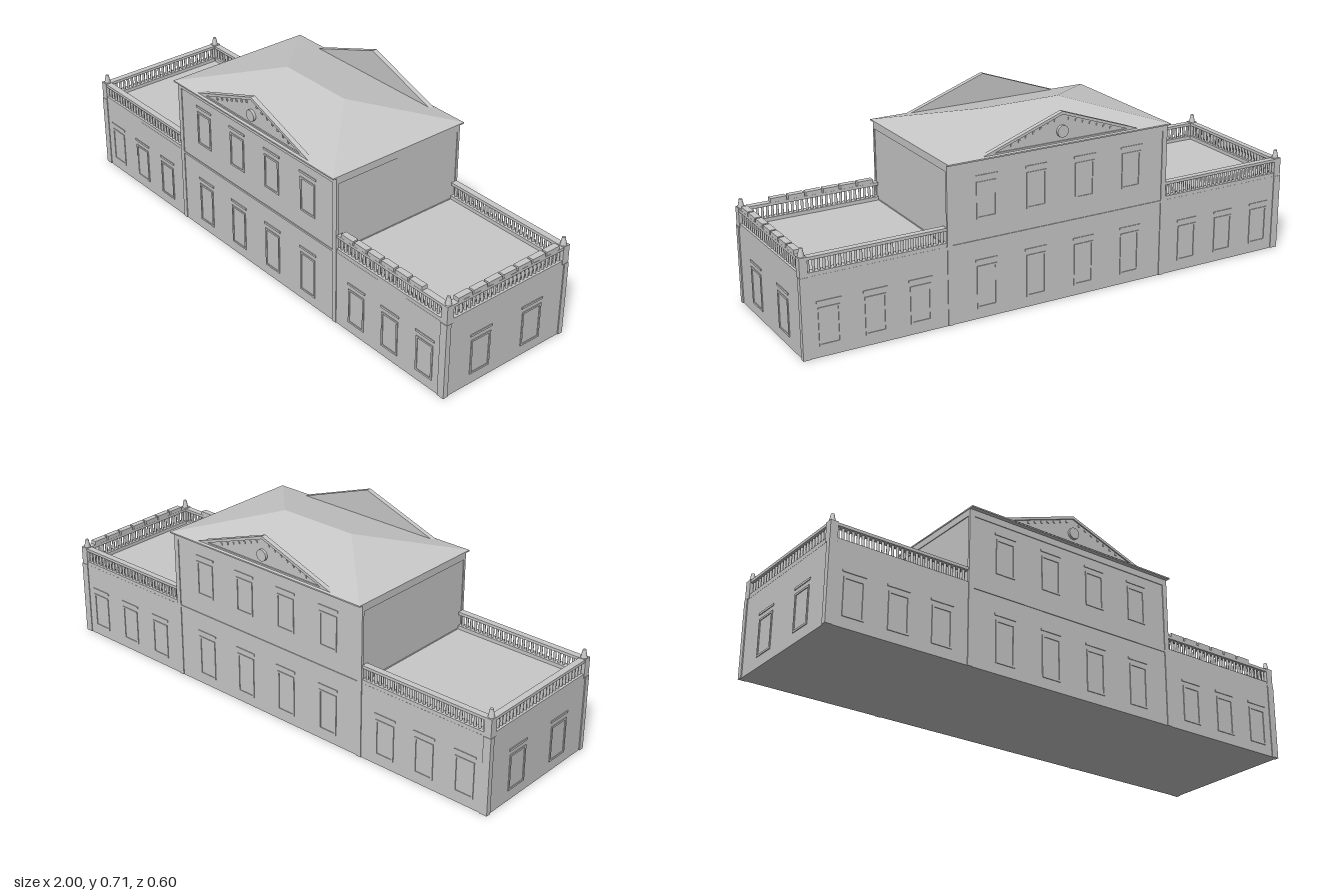
import * as THREE from 'three';

export function createModel() {
  const model = new THREE.Group();
  const stone = new THREE.MeshStandardMaterial({ color: 0xc8c8c8 });
  stone.name = 'pale grey stone';

  const add = (name, geo, x = 0, y = 0, z = 0, parent = model) => {
    const m = new THREE.Mesh(geo, stone);
    m.name = name;
    m.position.set(x, y, z);
    parent.add(m);
    return m;
  };
  // Box given by its minimum and maximum corners
  const box = (name, x0, x1, y0, y1, z0, z1, parent) =>
    add(name, new THREE.BoxGeometry(x1 - x0, y1 - y0, z1 - z0),
      (x0 + x1) / 2, (y0 + y1) / 2, (z0 + z1) / 2, parent);

  // Main masses
  box('groundFloor', -0.996, 0.996, 0, 0.296, -0.282, 0.282);
  box('upperFloor', -0.452, 0.452, 0.296, 0.595, -0.282, 0.282);
  box('beltCourse', -0.455, 0.455, 0.29, 0.298, -0.285, 0.285);
  box('cornice', -0.455, 0.455, 0.567, 0.595, -0.285, 0.285);
  for (const sx of [-1, 1]) {
    for (const sz of [-1, 1]) {
      box('wingCorner', sx * 0.985 - 0.015, sx * 0.985 + 0.015, 0, 0.296, sz * 0.275 - 0.01, sz * 0.275 + 0.01);
      box('blockCorner', sx * 0.445 - 0.01, sx * 0.445 + 0.01, 0, 0.595, sz * 0.28 - 0.005, sz * 0.28 + 0.005);
    }
  }

  // Hipped roof: four flat slopes, a thin eave and a soffit
  const A = [-0.457, 0.597, 0.302], B = [0.457, 0.597, 0.302], C = [0.457, 0.597, -0.302], D = [-0.457, 0.597, -0.302];
  const R = [0.16, 0.672, 0], L = [-0.16, 0.672, 0];
  const roof = new THREE.BufferGeometry();
  roof.setAttribute('position', new THREE.Float32BufferAttribute(
    [A, B, R, A, R, L, B, C, R, C, D, L, C, L, R, D, A, L].flat(), 3));
  roof.computeVertexNormals();
  add('hippedRoof', roof);
  box('eave', -0.457, 0.457, 0.592, 0.597, -0.302, 0.302);

  // Pediments, front and back
  const triangle = (Type, w, y0, y1) => {
    const s = new Type();
    s.moveTo(-w, y0); s.lineTo(w, y0); s.lineTo(0, y1); s.closePath();
    return s;
  };
  const extrude = (shape, depth) => new THREE.ExtrudeGeometry(shape, { depth, bevelEnabled: false });
  const pediment = () => {
    const g = new THREE.Group();
    g.name = 'pediment';
    add('tympanum', extrude(triangle(THREE.Shape, 0.33, 0.595, 0.712), 0.014), 0, 0, 0.273, g);
    const rim = triangle(THREE.Shape, 0.33, 0.595, 0.712);
    rim.holes.push(triangle(THREE.Path, 0.272, 0.605, 0.701));
    add('pedimentMoulding', extrude(rim, 0.005), 0, 0, 0.287, g);
    for (const s of [-1, 1]) {
      for (let i = 1; i < 8; i++) {
        const x = s * i * 0.029;
        box('dentil', x - 0.004, x + 0.004, 0.688 - Math.abs(x) * 0.354, 0.696 - Math.abs(x) * 0.354, 0.285, 0.29, g);
      }
    }
    const disc = add('roundel', new THREE.CylinderGeometry(0.022, 0.022, 0.011, 24), 0, 0.64, 0.2915, g);
    disc.rotation.x = Math.PI / 2;
    return g;
  };
  const back = pediment();
  back.rotation.y = Math.PI;
  model.add(pediment(), back);

  // Balustrade run along local x, centred at the group origin
  const baluster = new THREE.CylinderGeometry(0.0052, 0.0052, 0.048, 8);
  const balustrade = (length, x, z, turn) => {
    const g = new THREE.Group();
    g.name = 'balustrade';
    g.position.set(x, 0, z);
    g.rotation.y = turn;
    const h = length / 2;
    box('bottomRail', -h, h, 0.294, 0.31, -0.0125, 0.0125, g);
    box('topRail', -h, h, 0.354, 0.365, -0.0125, 0.0125, g);
    const n = Math.floor(length / 0.019);
    for (let i = 0; i < n; i++) add('baluster', baluster, (i - (n - 1) / 2) * 0.019, 0.332, 0, g);
    model.add(g);
  };
  for (const s of [-1, 1]) {
    balustrade(0.52, s * 0.715, 0.269, 0);
    balustrade(0.52, s * 0.715, -0.269, 0);
    balustrade(0.52, s * 0.984, 0, Math.PI / 2);
    for (const sz of [-1, 1]) {
      box('cornerPost', s * 0.984 - 0.0145, s * 0.984 + 0.0145, 0.294, 0.367, sz * 0.269 - 0.0145, sz * 0.269 + 0.0145);
      add('finial', new THREE.CylinderGeometry(0.006, 0.012, 0.03, 12), s * 0.984, 0.382, sz * 0.267);
    }
  }

  // Coping blocks on the left wing's front and end rails
  for (let i = 0; i < 6; i++) {
    const x = 0.475 + i * 0.068;
    box('copingBlock', x, x + 0.061, 0.365, 0.38, 0.257, 0.281);
  }
  for (let i = 0; i < 7; i++) {
    const z = -0.235 + i * 0.068;
    box('copingBlock', 0.972, 0.996, 0.365, 0.38, z, z + 0.061);
  }

  // Framed window with sill and hood, facing local +z
  const opening = (u, y0, y1, w, dist, turn) => {
    const g = new THREE.Group();
    g.name = 'window';
    g.rotation.y = turn;
    const f = 0.007, d = dist + 0.003;
    box('jamb', u - w / 2, u - w / 2 + f, y0, y1, dist - 0.002, d, g);
    box('jamb', u + w / 2 - f, u + w / 2, y0, y1, dist - 0.002, d, g);
    box('lintel', u - w / 2, u + w / 2, y1 - f, y1, dist - 0.002, d, g);
    box('sill', u - w / 2, u + w / 2, y0, y0 + f, dist - 0.002, d, g);
    box('hood', u - w / 2 - 0.005, u + w / 2 + 0.005, y1 + 0.016, y1 + 0.024, dist - 0.002, d, g);
    model.add(g);
  };
  for (const turn of [0, Math.PI]) {
    for (const u of [-0.3, -0.1, 0.1, 0.3]) {
      opening(u, 0.375, 0.51, 0.08, 0.282, turn);
      opening(u, 0.04, 0.2, 0.08, 0.282, turn);
    }
    for (const s of [-1, 1]) {
      for (const u of [0.56, 0.73, 0.9]) opening(s * u, 0.04, 0.18, 0.08, 0.282, turn);
    }
  }
  for (const turn of [Math.PI / 2, -Math.PI / 2]) {
    for (const u of [-0.12, 0.12]) opening(u, 0.04, 0.18, 0.09, 0.996, turn);
  }
  return model;
}
